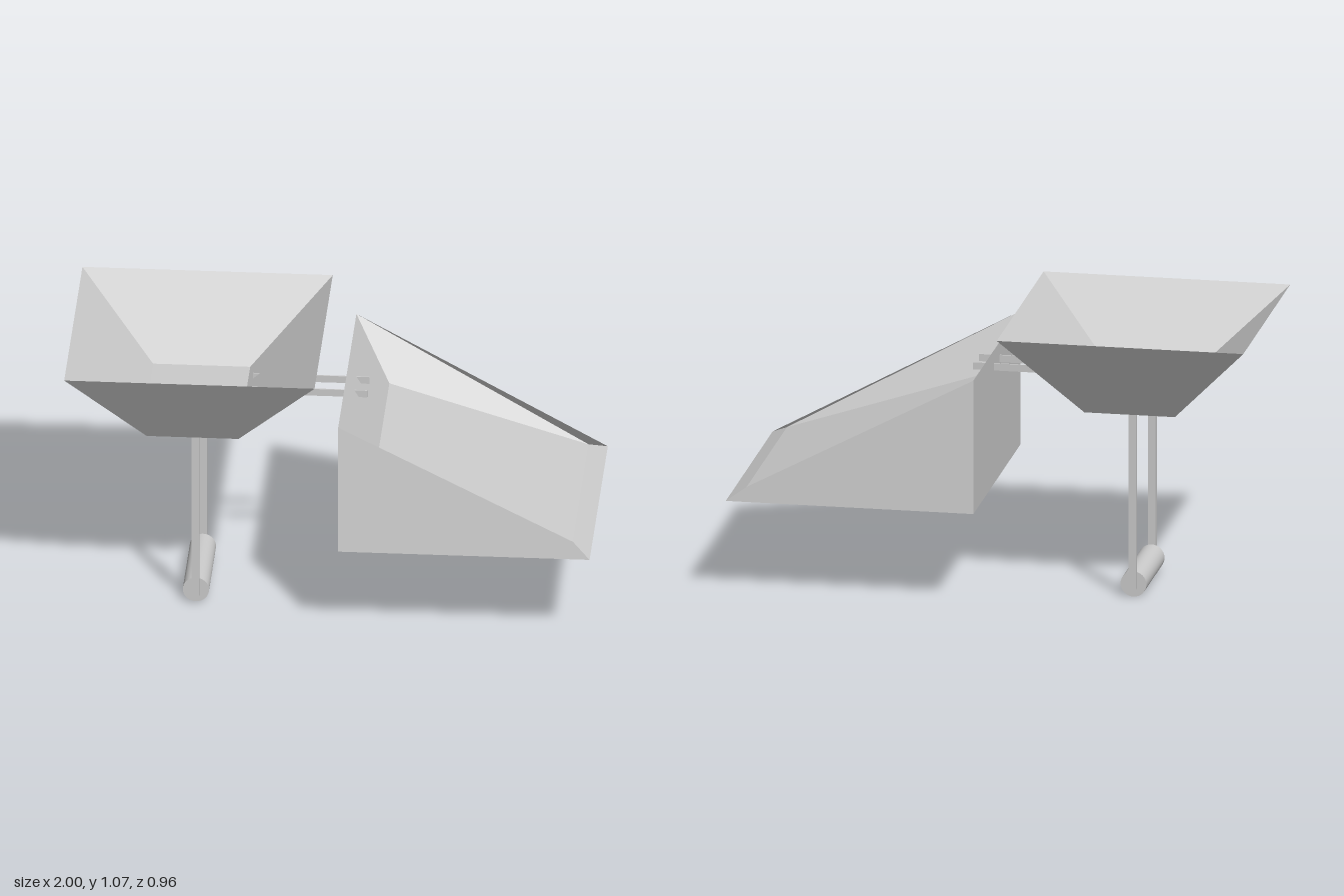
import * as THREE from 'three';

const grey = new THREE.MeshStandardMaterial({ color: 0xcccccc, side: THREE.DoubleSide });

function add(parent, name, geometry, x = 0, y = 0, z = 0) {
  const mesh = new THREE.Mesh(geometry, grey);
  mesh.name = name;
  mesh.position.set(x, y, z);
  parent.add(mesh);
  return mesh;
}

// Faceted shell: each face is a counter-clockwise fan with one shared normal
function faceted(corners, faces) {
  const pos = [], nor = [];
  const pts = corners.map((c) => new THREE.Vector3(...c));
  for (const f of faces) {
    const p = f.map((i) => pts[i]);
    const normal = new THREE.Vector3();
    const first = pos.length;
    for (let i = 1; i < p.length - 1; i++) {
      normal.add(p[i].clone().sub(p[0]).cross(p[i + 1].clone().sub(p[0])));
      for (const v of [p[0], p[i], p[i + 1]]) pos.push(v.x, v.y, v.z);
    }
    normal.normalize();
    for (let i = first; i < pos.length; i += 3) nor.push(normal.x, normal.y, normal.z);
  }
  const g = new THREE.BufferGeometry();
  g.setAttribute('position', new THREE.Float32BufferAttribute(pos, 3));
  g.setAttribute('normal', new THREE.Float32BufferAttribute(nor, 3));
  return g;
}

// Four corners of a rectangle whose height and half depth may differ at its two x ends
const ring = (x0, y0, d0, x1, y1, d1) => [[x0, y0, d0], [x1, y1, d1], [x1, y1, -d1], [x0, y0, -d0]];

// Four faces between a lower ring starting at corner a and an upper one at b
const band = (a, b) => [0, 1, 2, 3].map((i) => {
  const j = (i + 1) % 4;
  return [a + i, a + j, b + j, b + i];
});

export function createModel() {
  const model = new THREE.Group();
  model.name = 'hopperAndChute';

  // Open-topped hopper: outer shell, and a steeper inner bowl meeting it at the rim
  add(model, 'hopper', faceted([
    ...ring(-0.7, 0.75, 0.29, -0.35, 0.75, 0.29),
    ...ring(-1, 1.07, 0.478, -0.047, 1.07, 0.478),
    ...ring(-0.71, 0.817, 0.185, -0.34, 0.817, 0.185),
  ], [
    [3, 2, 1, 0], ...band(0, 4),      // underside and outer walls
    [8, 9, 10, 11], ...band(4, 8),    // inner floor and inner walls
  ]));

  // Wedge-shaped chute with a recessed floor
  add(model, 'chute', faceted([
    ...ring(0.043, 0.38, 0.478, 1, 0.38, 0.478),
    ...ring(0.178, 0.685, 0.345, 0.932, 0.42, 0.41),
    [0.043, 0.908, 0.478], [0.043, 0.908, -0.478],
  ], [
    [3, 2, 1, 0], [0, 8, 9, 3],       // base and back wall
    [8, 0, 1, 5], [9, 6, 2, 3],       // outer sides, folded over the rim
    [8, 5, 4], [9, 7, 6],             // inner sides
    [1, 2, 6, 5], [9, 8, 4, 7],       // front lip and back slope
    [4, 5, 6, 7],                     // recessed floor
  ]));

  // Legs, and thin bars joining hopper to chute
  for (const [side, s] of [['left', -1], ['right', 1]]) {
    add(model, side + 'Leg', new THREE.BoxGeometry(0.029, 0.715, 0.024), -0.52, 0.3925, s * 0.201);
    add(model, side + 'ConnectingBar', new THREE.BoxGeometry(0.442, 0.028, 0.006), -0.098, 0.842, s * 0.057);
  }

  // Roller between the legs
  const roller = add(model, 'roller', new THREE.CylinderGeometry(0.05, 0.05, 0.37, 32), -0.52, 0.05, 0);
  roller.rotation.x = Math.PI / 2;

  return model;
}
